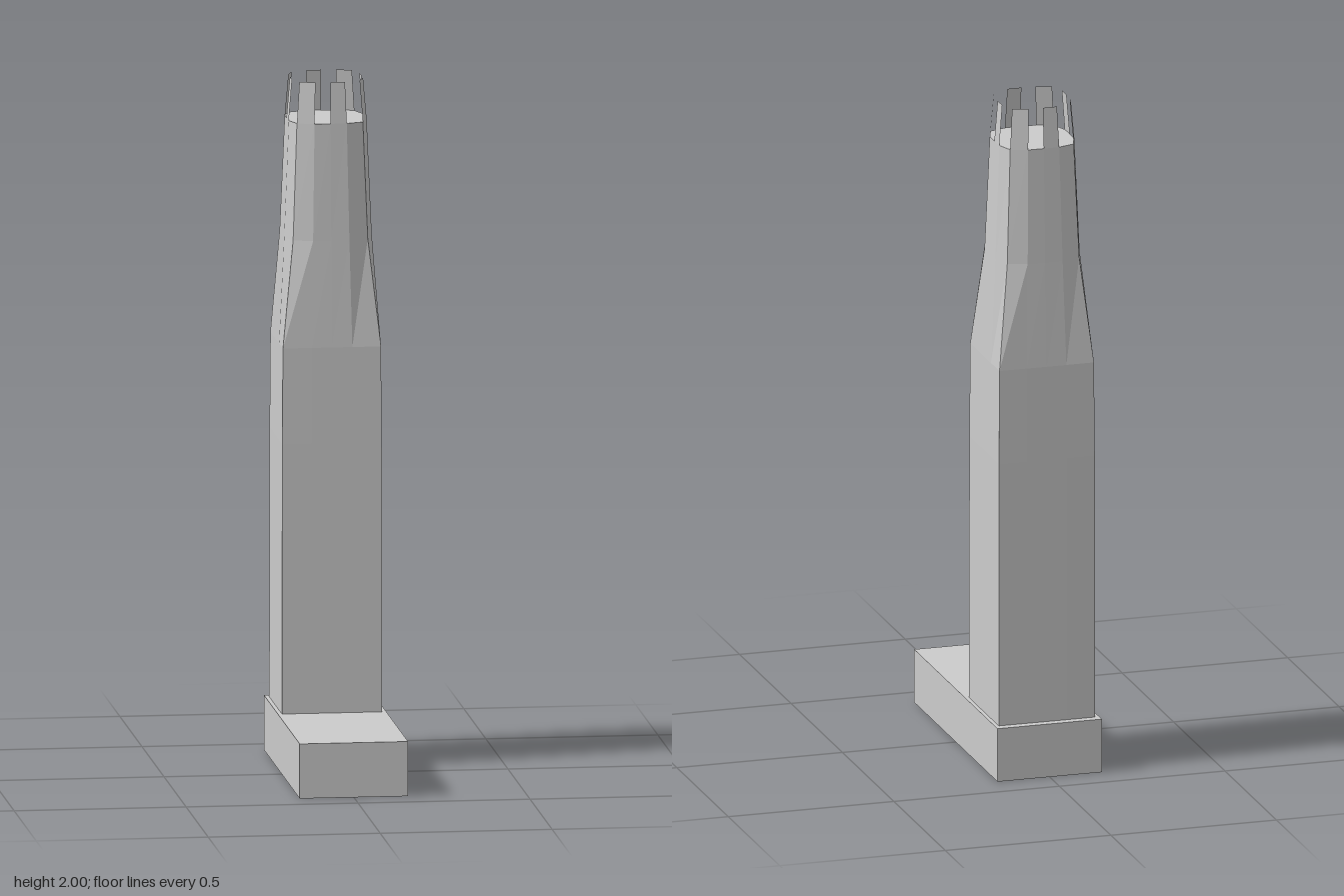
import * as THREE from 'three';

const SIDES = 16;
const TOWER_Z = -0.234;

// Point on a rounded-square ring: half-width s, squareness n
function ringPoint({ y, s, n }, i) {
  const a = (i / SIDES) * Math.PI * 2;
  const c = Math.abs(Math.cos(a)), d = Math.abs(Math.sin(a));
  const m = Math.max(c, d);
  const r = s / (m * Math.pow(Math.pow(c / m, n) + Math.pow(d / m, n), 1 / n));
  return [r * Math.sin(a), y, r * Math.cos(a)];
}

// Wall between successive rings, on the segments picked by keep(i)
function wall(rings, keep = () => true) {
  const pos = [];
  for (let k = 0; k < rings.length - 1; k++) {
    for (let i = 0; i < SIDES; i++) {
      if (!keep(i)) continue;
      const a = ringPoint(rings[k], i), b = ringPoint(rings[k], i + 1);
      const c = ringPoint(rings[k + 1], i + 1), d = ringPoint(rings[k + 1], i);
      pos.push(...a, ...b, ...c, ...a, ...c, ...d);
    }
  }
  return toGeometry(pos);
}

// Flat cap facing up
function cap(ring) {
  const pos = [];
  for (let i = 0; i < SIDES; i++) {
    pos.push(0, ring.y, 0, ...ringPoint(ring, i), ...ringPoint(ring, i + 1));
  }
  return toGeometry(pos);
}

function toGeometry(pos) {
  const g = new THREE.BufferGeometry();
  g.setAttribute('position', new THREE.Float32BufferAttribute(pos, 3));
  g.computeVertexNormals();
  return g;
}

export function createModel() {
  const model = new THREE.Group();
  model.name = 'tower';
  const stone = new THREE.MeshStandardMaterial({ color: 0xcccccc, side: THREE.DoubleSide });
  stone.name = 'light grey';

  function add(name, geometry, y = 0, z = 0) {
    const mesh = new THREE.Mesh(geometry, stone);
    mesh.name = name;
    mesh.position.set(0, y, z);
    model.add(mesh);
  }

  // Long podium, open underneath
  const podium = new THREE.BoxGeometry(0.315, 0.16, 0.81);
  podium.setIndex([...podium.index.array].filter((_, i) => i < 18 || i >= 24));
  podium.clearGroups();
  add('podium', podium, 0.08);

  // Square shaft, then a taper that rounds off towards the roof
  const foot = { y: 0.16, s: 0.146, n: 200 };
  const middle = { y: 0.95, s: 0.145, n: 200 };
  const shoulder = { y: 1.23, s: 0.143, n: 200 };
  const neck = { y: 1.54, s: 0.128, n: 4.2 };
  const roof = { y: 1.88, s: 0.114, n: 4 };
  const crown = { y: 2, s: 0.104, n: 4 };
  add('shaft', wall([foot, middle, shoulder]), 0, TOWER_Z);
  add('taper', wall([shoulder, neck, roof]), 0, TOWER_Z);
  add('roof', cap(roof), 0, TOWER_Z);

  // Crown fins on every other segment
  add('crownFins', wall([roof, crown], (i) => i % 2 === 0), 0, TOWER_Z);

  return model;
}
